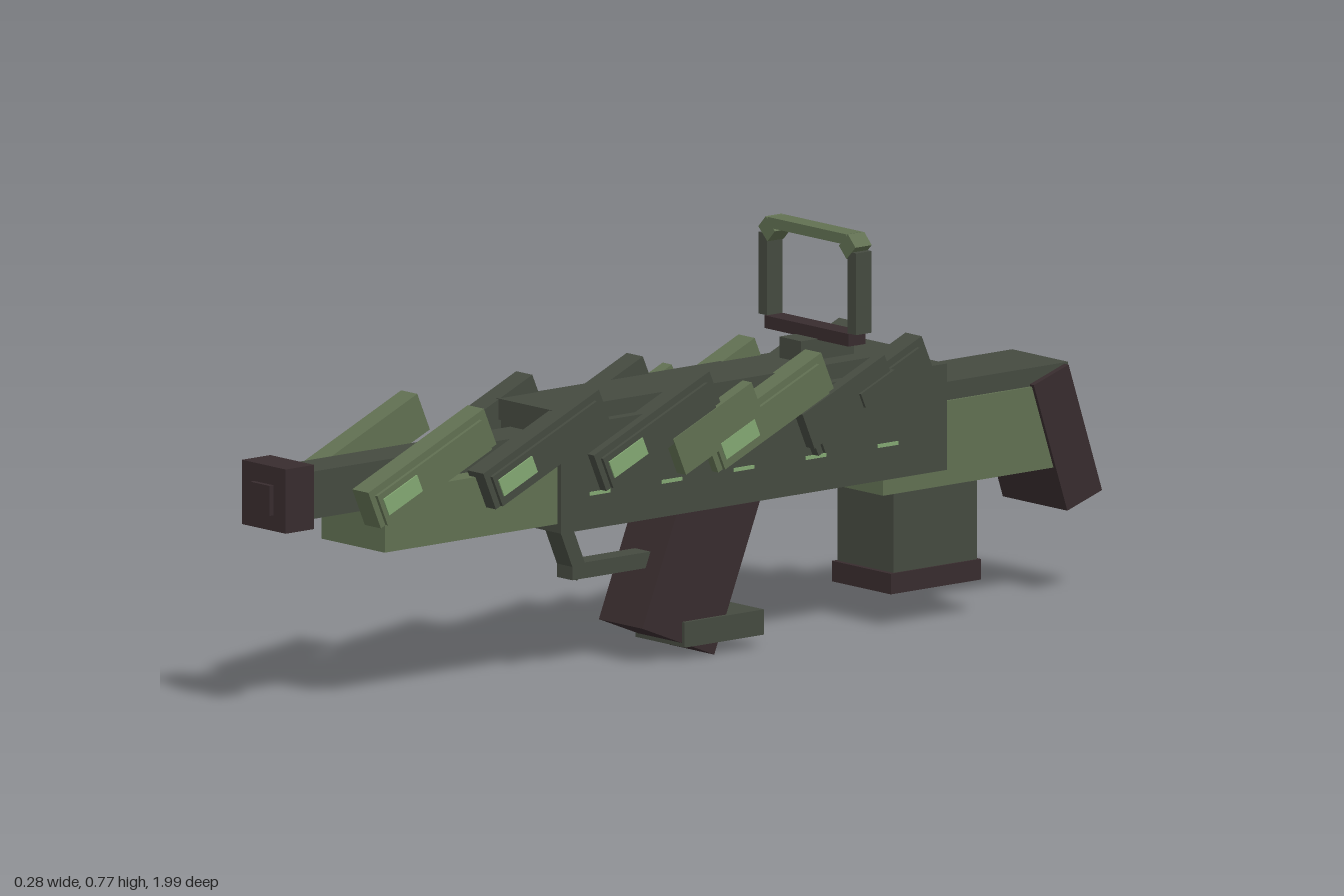
import * as THREE from 'three';

const mat = (name, color) => {
  const m = new THREE.MeshStandardMaterial({ color });
  m.name = name;
  return m;
};

export function createModel() {
  const olive = mat('olive', 0x617052);
  const dark = mat('dark green grey', 0x454a40);
  const brown = mat('dark brown', 0x382c2e);
  const light = mat('light green', 0x83a873);
  const model = new THREE.Group();
  model.name = 'blaster';

  // Box from size and centre, optionally tilted about x and z
  const box = (name, m, [w, h, d], [x, y, z], rx = 0, rz = 0, parent = model) => {
    const mesh = new THREE.Mesh(new THREE.BoxGeometry(w, h, d), m);
    mesh.name = name;
    mesh.position.set(x, y, z);
    mesh.rotation.set(rx, 0, rz);
    parent.add(mesh);
    return mesh;
  };
  // Box centred on x, from y and z ranges
  const span = (name, m, halfX, y0, y1, z0, z1) =>
    box(name, m, [halfX * 2, y1 - y0, z1 - z0], [0, (y0 + y1) / 2, (z0 + z1) / 2]);

  // Barrel and muzzle
  span('barrel', dark, 0.045, 0.38, 0.47, 0.3, 0.93);
  span('muzzle', brown, 0.0625, 0.365, 0.487, 0.92, 0.99);
  span('muzzleTip', brown, 0.028, 0.395, 0.452, 0.98, 1.0);

  // Body
  span('foreEnd', olive, 0.09, 0.305, 0.42, 0.3, 0.77);
  span('receiver', dark, 0.1, 0.288, 0.49, -0.605, 0.345);
  span('topCover', dark, 0.078, 0.48, 0.52, -0.545, 0.35);

  // Stock and butt
  span('stock', olive, 0.085, 0.255, 0.415, -0.88, -0.46);
  span('stockTop', dark, 0.08, 0.405, 0.45, -0.92, -0.6);
  box('buttPad', brown, [0.184, 0.262, 0.09], [0, 0.309, -0.909], 0.32);

  // Magazine
  span('magazine', dark, 0.08, 0.1, 0.27, -0.695, -0.49);
  span('magazineBase', brown, 0.084, 0.065, 0.104, -0.702, -0.48);

  // Grip and trigger guard
  box('grip', brown, [0.125, 0.34, 0.19], [0, 0.194, -0.04], -0.385);
  span('gripFoot', dark, 0.07, 0.025, 0.073, -0.18, 0.015);
  span('triggerGuard', dark, 0.022, 0.176, 0.206, 0.05, 0.25);
  box('triggerGuardFront', dark, [0.044, 0.13, 0.03], [0, 0.24, 0.25], 0.4);

  // Sight
  span('sightMount', dark, 0.031, 0.51, 0.56, -0.435, -0.305);
  span('sightBase', brown, 0.12, 0.558, 0.582, -0.387, -0.345);
  span('sightTop', olive, 0.112, 0.75, 0.77, -0.386, -0.346);
  for (const s of [-1, 1]) {
    box('sightPost', dark, [0.025, 0.155, 0.038], [s * 0.127, 0.66, -0.366]);
    box('sightCorner', olive, [0.031, 0.036, 0.04], [s * 0.115, 0.747, -0.366], 0, -s * 0.8);
  }

  // Overlapping slanted plates on both sides
  const plates = [
    [0.677, olive, olive], [0.394, dark, dark], [0.122, dark, dark],
    [-0.153, olive, olive], [-0.4, dark, dark],
  ];
  const tilt = 0.41;
  for (const s of [-1, 1]) {
    const side = new THREE.Group();
    side.name = s > 0 ? 'leftPlates' : 'rightPlates';
    model.add(side);
    plates.forEach(([z, inner, outer], i) => {
      box('plate', inner, [0.046, 0.078, 0.31], [s * 0.095, 0.457, z], tilt, 0, side);
      box('outerPlate', outer, [0.03, 0.064, 0.28], [s * 0.11, 0.45, z], tilt, 0, side);
      if (i < 4) box('plateInlay', light, [0.008, 0.035, 0.09], [s * 0.124, 0.418, z + 0.08], tilt, 0, side);
    });
    box('middlePlate', olive, [0.026, 0.078, 0.21], [s * 0.114, 0.445, -0.02], tilt, 0, side);
    box('rearPlate', dark, [0.024, 0.075, 0.22], [s * 0.117, 0.455, -0.34], tilt, 0, side);
    box('rearCatch', dark, [0.02, 0.03, 0.09], [s * 0.125, 0.472, -0.41], tilt, 0, side);
    // Thin light slots along the receiver
    for (let i = 0; i < 5; i++) {
      box('slot', light, [0.004, 0.007, 0.05], [s * 0.1, 0.355, 0.25 - i * 0.177], 0, 0, side);
    }
  }
  return model;
}
